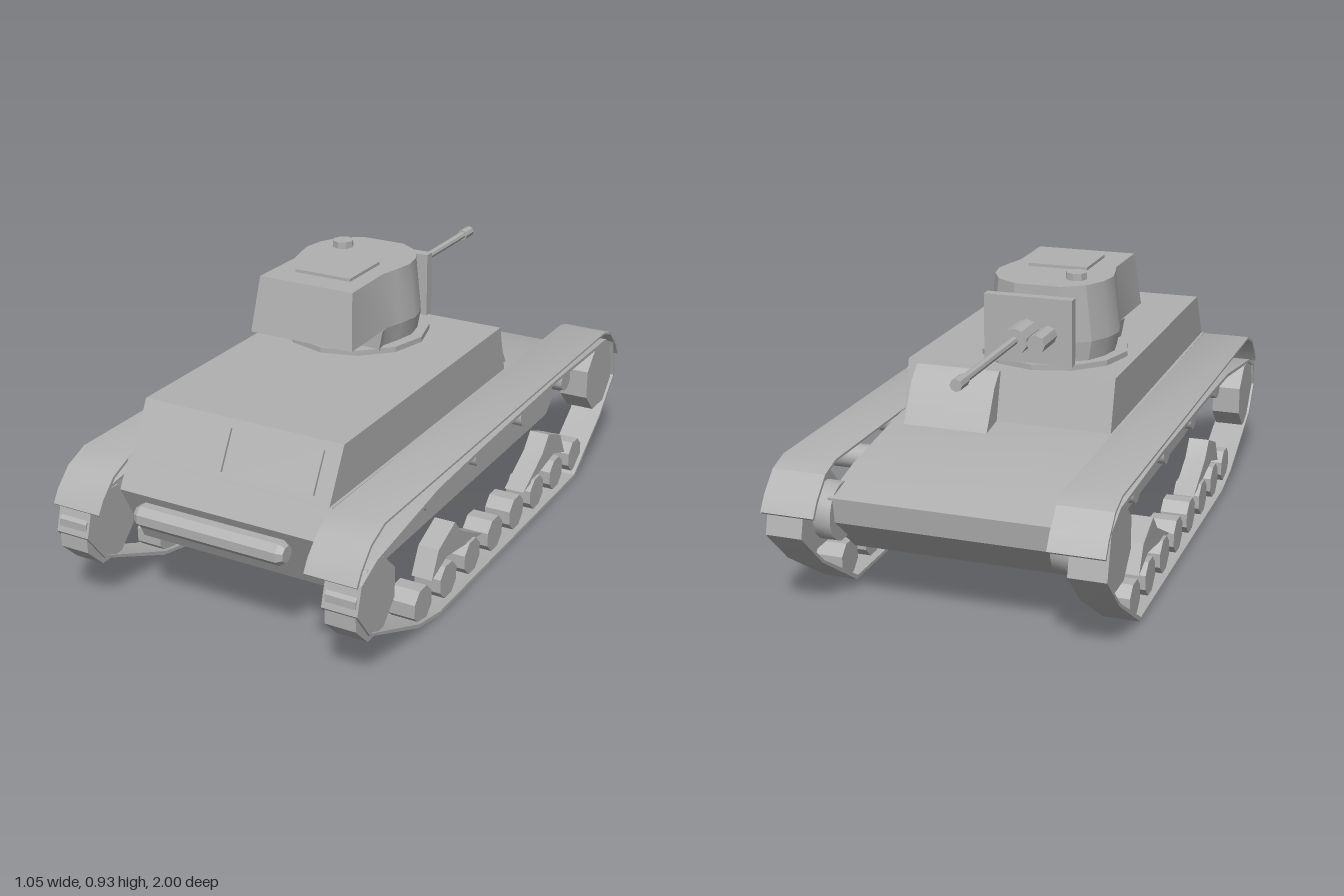
import * as THREE from 'three';
import { toCreasedNormals } from 'three/addons/utils/BufferGeometryUtils.js';

const armour = new THREE.MeshStandardMaterial({ color: 0xb0b0b0 });
armour.name = 'grey armour';

export function createModel() {
  const model = new THREE.Group();

  function add(name, geometry, x = 0, y = 0, z = 0, crease = 0.45) {
    const mesh = new THREE.Mesh(toCreasedNormals(geometry, crease), armour);
    mesh.name = name;
    mesh.position.set(x, y, z);
    model.add(mesh);
    return mesh;
  }

  // Side profile of [z, y] points, extruded across x and centred on x = 0
  function slab(points, width, hole) {
    const shape = new THREE.Shape(points.map(p => new THREE.Vector2(...p)));
    if (hole) shape.holes.push(new THREE.Path(hole.map(p => new THREE.Vector2(...p))));
    return new THREE.ExtrudeGeometry(shape, { depth: width, bevelEnabled: false })
      .translate(0, 0, -width / 2).rotateY(-Math.PI / 2);
  }

  // Cylinders lying along x (wheels) and along z (gun)
  const wheel = (r, w, n = 8) =>
    new THREE.CylinderGeometry(r, r, w, n).rotateY(Math.PI / n).rotateZ(Math.PI / 2);
  const barrel = (r, l, n = 8) => new THREE.CylinderGeometry(r, r, l, n).rotateX(Math.PI / 2);

  // Closed skin through horizontal rings { y, points: [x, z] }
  function loft(rings) {
    const n = rings[0].points.length, pos = [], index = [];
    rings.forEach(r => r.points.forEach(([x, z]) => pos.push(x, r.y, z)));
    for (let k = 0; k < rings.length - 1; k++) {
      for (let i = 0; i < n; i++) {
        const a = k * n + i, b = k * n + (i + 1) % n;
        index.push(a, a + n, b + n, a, b + n, b);
      }
    }
    const top = (rings.length - 1) * n;
    const cap = r => THREE.ShapeUtils.triangulateShape(r.points.map(p => new THREE.Vector2(...p)), []);
    cap(rings[0]).forEach(([a, b, c]) => index.push(a, b, c));
    cap(rings.at(-1)).forEach(([a, b, c]) => index.push(top + a, top + c, top + b));
    const g = new THREE.BufferGeometry();
    g.setAttribute('position', new THREE.Float32BufferAttribute(pos, 3));
    g.setIndex(index);
    return g;
  }

  // Hull and superstructure
  add('hull', slab([[0.84, 0.49], [0.89, 0.4], [0.785, 0.195], [0.57, 0.17], [-0.73, 0.17],
    [-0.89, 0.31], [-0.9, 0.39], [-0.72, 0.435], [-0.36, 0.485]], 0.71), 0, 0, 0, 0.2);
  add('superstructure', slab([[0.84, 0.485], [0.75, 0.65], [-0.31, 0.65], [-0.355, 0.48]], 0.69));
  add('engineCover', slab([[-0.3, 0.64], [-0.325, 0.64], [-0.37, 0.6], [-0.445, 0.47], [-0.3, 0.47]], 0.28), 0.17);
  for (const x of [-0.16, 0.155]) {
    add('frontHatch', new THREE.BoxGeometry(0.27, 0.132, 0.012), x, 0.568, 0.798).rotation.x = -0.51;
  }

  // Chamfered roll across the nose
  const roll = [[0, -0.26], [0.026, -0.26], [0.038, -0.242], [0.038, 0.242], [0.026, 0.26], [0, 0.26]];
  add('noseRoll', new THREE.LatheGeometry(roll.map(p => new THREE.Vector2(...p)), 8)
    .rotateY(Math.PI / 8).rotateZ(Math.PI / 2), -0.01, 0.352, 0.917);

  // Running gear on both sides
  const fender = [[1, 0.36], [0.975, 0.4], [0.92, 0.455], [0.84, 0.488],
    [-0.84, 0.488], [-0.91, 0.465], [-0.97, 0.405], [-0.998, 0.36]];
  const fenderUnder = fender.map(([z, y]) => [z * 0.992, y - 0.007]).reverse();
  const track = [[0.995, 0.265], [0.97, 0.35], [0.88, 0.39], [0.5, 0.445], [0.2, 0.455], [-0.4, 0.465],
    [-0.85, 0.455], [-0.94, 0.415], [-0.975, 0.28], [-0.85, 0.155], [-0.62, 0], [0.48, 0],
    [0.62, 0.03], [0.92, 0.165]];
  const trackInside = track.map(([z, y]) => [z * 0.987, 0.23 + (y - 0.23) * 0.95]);
  const bogie = [[0.49, 0.12], [0.445, 0.205], [0.335, 0.25], [0.285, 0.195], [0.13, 0.115], [0.39, 0.155]];
  for (const side of [-1, 1]) {
    add('fender', slab([...fender, ...fenderUnder], 0.17), side * 0.439);
    add('track', slab(track, 0.116, trackInside), side * 0.465);
    add('frontSprocket', wheel(0.124, 0.1), side * 0.465, 0.26, 0.875);
    add('rearIdler', wheel(0.13, 0.1), side * 0.465, 0.325, -0.832);
    add('idlerHub', wheel(0.09, 0.055, 16), side * 0.367, 0.325, -0.832);
    for (let i = 0; i < 8; i++) {
      add('roadWheel', wheel(0.06, 0.09), side * 0.465, 0.08, 0.566 - i * 0.1718);
    }
    for (let i = 0; i < 4; i++) {
      add('returnRoller', wheel(0.04, 0.14, 12), side * 0.42, 0.397, 0.485 - i * 0.35, 0.6);
    }
    add('frontBogie', slab(bogie, 0.07), side * 0.465);
    add('rearBogie', slab(bogie.map(([z, y]) => [-0.07 - z, y]).reverse(), 0.07), side * 0.465);
  }

  // Turret: half outlines mirrored about its own centre line
  const cx = -0.07;
  const mirror = half => [
    ...half.map(([x, z]) => [cx + x, z]),
    ...half.map(([x, z]) => [cx - x, z]).reverse(),
  ];
  const waist = [[0.09, -0.255], [0.165, -0.205], [0.2, -0.14], [0.215, -0.07], [0.2, 0], [0.18, 0.06], [0.185, 0.3]];
  const roof = [[0.075, -0.25], [0.145, -0.205], [0.18, -0.14], [0.193, -0.07], [0.18, 0], [0.165, 0.06], [0.168, 0.265]];
  const foot = waist.map(([x, z]) => [x * 0.93, Math.min(z, 0.1)]);
  const neck = waist.map(([x, z]) => [x, Math.min(z, 0.1)]);
  add('turretRing', new THREE.CylinderGeometry(0.242, 0.242, 0.022, 12), cx, 0.657, -0.065);
  add('turretBase', loft([{ y: 0.66, points: mirror(foot) }, { y: 0.73, points: mirror(neck) }]));
  add('turret', loft([{ y: 0.73, points: mirror(waist) }, { y: 0.91, points: mirror(roof) }]));
  add('turretHatch', new THREE.BoxGeometry(0.2, 0.012, 0.195), -0.06, 0.914, 0.08);
  add('periscope', new THREE.CylinderGeometry(0.035, 0.035, 0.025, 8), -0.16, 0.92, -0.13);

  // Gun mount and gun, pointing to -z
  add('mantletPlate', new THREE.BoxGeometry(0.29, 0.215, 0.035), -0.053, 0.773, -0.275);
  add('gunSleeve', barrel(0.042, 0.13, 10), -0.05, 0.768, -0.345);
  add('sideSleeve', barrel(0.03, 0.13, 8), -0.12, 0.765, -0.345);
  add('gunBarrel', barrel(0.013, 0.47), -0.05, 0.772, -0.635);
  add('muzzle', barrel(0.019, 0.06), -0.05, 0.772, -0.855);

  return model;
}
